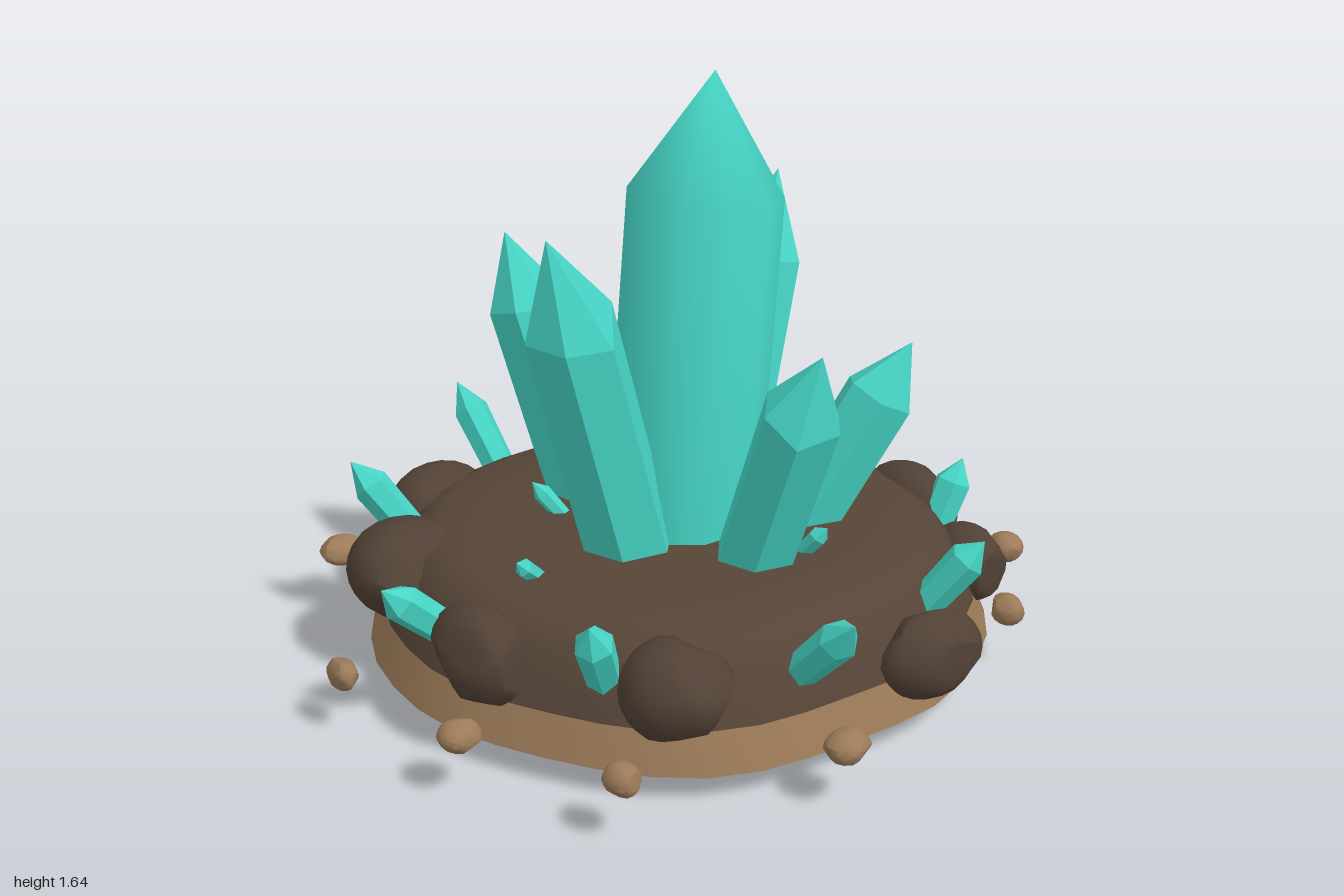
import * as THREE from 'three';
import { toCreasedNormals } from 'three/addons/utils/BufferGeometryUtils.js';

const mat = (name, color, side = THREE.FrontSide) => {
  const m = new THREE.MeshStandardMaterial({ color, side });
  m.name = name;
  return m;
};

// small seeded generator
let seed = 7;
const rand = () => {
  seed = (seed * 16807) % 2147483647;
  return seed / 2147483647;
};
const V = (a) => new THREE.Vector3(...a);

// pointed prism from base to tip; shoulder is the fraction where the point begins, roll turns it on its axis
function crystal(name, material, base, tip, rBase, rTop, shoulder, roll = 0, sides = 6, smooth = false) {
  const axis = V(tip).sub(V(base));
  const len = axis.length();
  const pts = [[0, 0], [rBase, 0], [rTop, shoulder * len], [0, len]].map((p) => new THREE.Vector2(...p));
  let geo = new THREE.LatheGeometry(pts, sides, roll);
  const pos = geo.attributes.position;
  const drop = Array.from({ length: sides }, () => (smooth ? 0 : (rand() - 0.5) * 0.06 * len));
  for (let i = 0; i < pos.count; i++) {
    if (i % 4 === 2) pos.setY(i, pos.getY(i) + drop[Math.floor(i / 4) % sides]);
  }
  if (smooth) {
    geo = toCreasedNormals(geo, 0.9);
    // blend the shading over the apex
    const { position, normal } = geo.attributes;
    for (let i = 0; i < position.count; i++) {
      if (position.getY(i) > len * 0.99) normal.setXYZ(i, 0, 1, 0);
    }
  } else {
    geo = geo.toNonIndexed();
    geo.computeVertexNormals();
  }
  const mesh = new THREE.Mesh(geo, material);
  mesh.name = name;
  mesh.position.copy(V(base));
  mesh.quaternion.setFromUnitVectors(new THREE.Vector3(0, 1, 0), axis.normalize());
  return mesh;
}

// rounded stone: a sphere shaved by random planes
function stone(name, material, center, size, detail) {
  let geo = new THREE.IcosahedronGeometry(1, detail);
  const pos = geo.attributes.position;
  const planes = Array.from({ length: 10 }, () => ({
    n: new THREE.Vector3(rand() - 0.5, rand() - 0.5, rand() - 0.5).normalize(),
    d: 0.78 + rand() * 0.15,
  }));
  const v = new THREE.Vector3();
  for (let i = 0; i < pos.count; i++) {
    v.fromBufferAttribute(pos, i);
    for (const { n, d } of planes) {
      const over = v.dot(n) - d;
      if (over > 0) v.addScaledVector(n, -over);
    }
    pos.setXYZ(i, v.x * size[0] * 0.55, v.y * size[1] * 0.55, v.z * size[2] * 0.55);
  }
  geo = toCreasedNormals(geo, 0.6);
  const mesh = new THREE.Mesh(geo, material);
  mesh.name = name;
  mesh.position.set(...center);
  return mesh;
}

// outline radius of the mound every 30 degrees, from +x towards +z
const outline = [0.865, 0.87, 0.825, 0.78, 0.82, 0.79, 0.82, 0.84, 0.865, 0.85, 0.88, 0.87];
function outlineRadius(angle) {
  const t = ((angle / (Math.PI * 2) + 1) % 1) * 12;
  const i = Math.floor(t) % 12;
  const f = t - Math.floor(t);
  const s = f * f * (3 - 2 * f);
  return outline[i] * (1 - s) + outline[(i + 1) % 12] * s;
}

export function createModel() {
  seed = 7;
  const model = new THREE.Group();
  model.name = 'crystalCluster';
  const teal = mat('crystalTeal', 0x46d4c5);
  const earth = mat('darkEarth', 0x564537, THREE.DoubleSide);
  const rock = mat('darkRock', 0x514135);
  const sand = mat('sand', 0x9b7a58, THREE.DoubleSide);
  const group = (name) => {
    const g = new THREE.Group();
    g.name = name;
    model.add(g);
    return g;
  };

  // hollow mound: dark upper shell and sandy rim band
  const shell = (name, profile, material) => {
    const geo = new THREE.LatheGeometry(profile.map((p) => new THREE.Vector2(...p)), 36);
    const pos = geo.attributes.position;
    for (let i = 0; i < pos.count; i++) {
      const r = outlineRadius(Math.atan2(pos.getZ(i), pos.getX(i)));
      pos.setXYZ(i, pos.getX(i) * r, pos.getY(i), pos.getZ(i) * r);
    }
    const mesh = new THREE.Mesh(toCreasedNormals(geo, 0.9), material);
    mesh.name = name;
    model.add(mesh);
  };
  shell('moundTop', [[0.95, 0.178], [0.915, 0.25], [0.87, 0.32], [0.825, 0.36], [0.76, 0.387], [0.6, 0.398], [0, 0.402]], earth);
  shell('moundRim', [[1, 0.072], [0.95, 0.178]], sand);

  // central crystal
  model.add(crystal('mainCrystal', teal, [0, 0.015, -0.02], [0.095, 1.64, 0.04], 0.21, 0.206, 0.8, 0.3, 10, true));

  // leaning crystals around it: base, tip, radii, shoulder, roll
  const large = group('leaningCrystals');
  [
    [[-0.13, 0.19, 0.04], [-0.47, 1.31, 0.11], 0.125, 0.125, 0.77, 0.35],
    [[-0.06, 0.19, -0.24], [-0.21, 1.12, -0.51], 0.105, 0.108, 0.78, 0.2],
    [[0.03, 0.19, 0.23], [0.06, 1.02, 0.54], 0.108, 0.112, 0.78, 0.35],
    [[0.17, 0.19, -0.08], [0.5, 1.25, -0.21], 0.115, 0.12, 0.77, 0.35],
    [[0.21, 0.19, 0.12], [0.54, 0.89, 0.33], 0.098, 0.1, 0.77, 0.35],
  ].forEach(([b, t, ...shape]) => large.add(crystal('leaningCrystal', teal, b, t, ...shape)));

  // small crystals around the rim
  const rim = group('rimCrystals');
  [
    [[-0.1, 0.24, 0.66], [-0.14, 0.5, 0.93]],
    [[0.36, 0.26, 0.6], [0.46, 0.48, 0.73]],
    [[-0.52, 0.24, 0.43], [-0.63, 0.47, 0.52]],
    [[-0.7, 0.25, -0.01], [-0.9, 0.43, -0.02]],
    [[0.7, 0.22, 0.25], [0.81, 0.46, 0.26]],
    [[0.7, 0.18, -0.24], [0.84, 0.36, -0.32]],
    [[-0.1, 0.25, -0.69], [-0.14, 0.53, -0.92]],
    [[0.35, 0.26, -0.61], [0.46, 0.48, -0.76]],
    [[-0.52, 0.27, -0.47], [-0.67, 0.52, -0.6]],
  ].forEach(([b, t]) => rim.add(crystal('rimCrystal', teal, b, t, 0.046, 0.052, 0.74, 0.35)));

  // tiny shards on top of the mound: foot x, z and tip x, z, height
  const shards = group('shards');
  [
    [0.06, -0.44, 0.06, -0.55, 0.47], [0.16, -0.45, 0.18, -0.55, 0.5], [0.42, -0.35, 0.48, -0.39, 0.44],
    [0.5, -0.12, 0.57, -0.15, 0.46], [0.46, 0.04, 0.55, 0.03, 0.45], [0.36, 0.08, 0.48, 0.12, 0.45],
    [0.15, 0.34, 0.18, 0.43, 0.48], [-0.47, 0.06, -0.56, 0.08, 0.45], [-0.22, -0.2, -0.29, -0.27, 0.48],
    [0.06, -0.22, 0.06, -0.29, 0.5],
  ].forEach(([x, z, tx, tz, h]) => shards.add(crystal('shard', teal, [x, 0.37, z], [tx, h, tz], 0.022, 0.026, 0.72)));

  // boulders set into the mound side
  const boulders = group('boulders');
  [
    [[-0.42, 0.27, 0.59], [0.27, 0.25, 0.26]],
    [[0.28, 0.215, 0.73], [0.29, 0.22, 0.2]],
    [[0.7, 0.23, 0.41], [0.18, 0.2, 0.23]],
    [[0.745, 0.28, 0.12], [0.19, 0.23, 0.31]],
    [[0.65, 0.255, -0.41], [0.21, 0.2, 0.24]],
    [[0.25, 0.25, -0.78], [0.34, 0.22, 0.25]],
    [[-0.36, 0.28, -0.66], [0.29, 0.24, 0.23]],
    [[-0.63, 0.28, -0.35], [0.31, 0.25, 0.36]],
    [[-0.71, 0.26, 0.135], [0.2, 0.24, 0.31]],
  ].forEach(([c, s]) => boulders.add(stone('boulder', rock, c, s, 3)));

  // loose pebbles around the rim: x, z, width
  const pebbles = group('pebbles');
  [
    [-0.62, -0.785, 0.125], [0.185, -0.92, 0.09], [0.485, -0.795, 0.09], [0.885, -0.45, 0.075], [-0.965, -0.13, 0.07],
    [-0.88, 0.315, 0.105], [0.945, 0.31, 0.095], [-0.67, 0.715, 0.085], [0.68, 0.6, 0.08], [-0.135, 0.91, 0.12],
  ].forEach(([x, z, w]) => pebbles.add(stone('pebble', sand, [x, 0.165, z], [w, 0.08, 0.1], 2)));

  return model;
}
